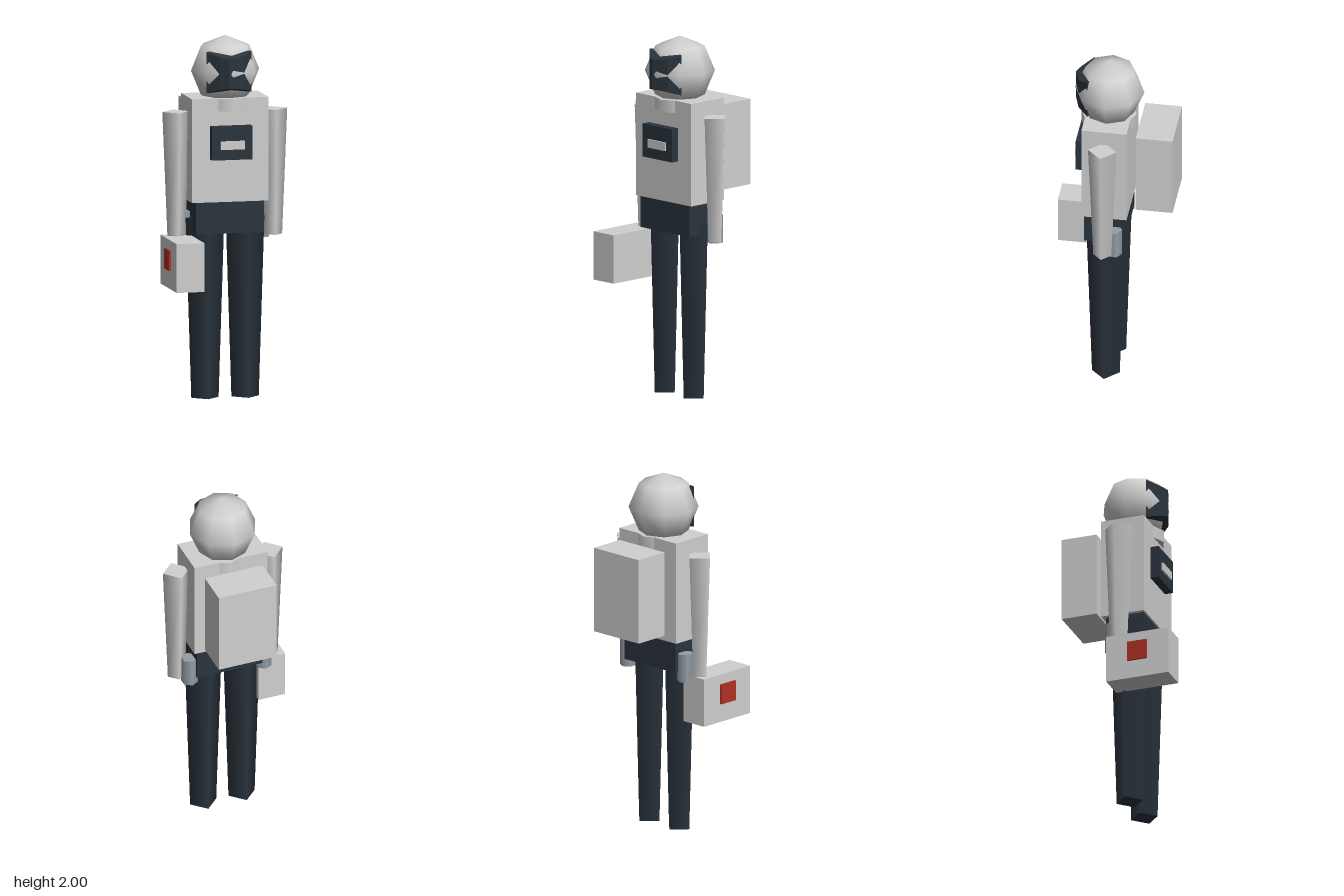
import * as THREE from 'three';
import { ConvexGeometry } from 'three/addons/geometries/ConvexGeometry.js';

function material(name, color) {
  const m = new THREE.MeshStandardMaterial({ color });
  m.name = name;
  return m;
}

export function createModel() {
  const model = new THREE.Group();
  model.name = 'figure';
  const grey = material('light grey', 0xd0d0d0);
  const dark = material('dark slate', 0x2a343d);
  const steel = material('blue grey', 0x939da6);
  const red = material('red', 0xb03024);

  function add(name, geometry, mat, x = 0, y = 0, z = 0) {
    const mesh = new THREE.Mesh(geometry, mat);
    mesh.name = name;
    mesh.position.set(x, y, z);
    model.add(mesh);
    return mesh;
  }

  // Box given by its limits on each axis
  function box(name, mat, [x0, x1], [y0, y1], [z0, z1]) {
    return add(name, new THREE.BoxGeometry(x1 - x0, y1 - y0, z1 - z0), mat,
      (x0 + x1) / 2, (y0 + y1) / 2, (z0 + z1) / 2);
  }

  // Upright tapered column between two heights
  function column(name, mat, sides, rTop, rBottom, y0, y1, x, z) {
    return add(name, new THREE.CylinderGeometry(rTop, rBottom, y1 - y0, sides), mat, x, (y0 + y1) / 2, z);
  }

  // Body
  box('torso', grey, [-0.211, 0.219], [1.094, 1.667], [-0.099, 0.151]);
  box('hips', dark, [-0.187, 0.197], [0.918, 1.094], [-0.08, 0.14]);
  column('collar', grey, 8, 0.153, 0.153, 1.597, 1.666, 0.015, 0.03);
  add('head', new THREE.SphereGeometry(0.192, 8, 4), grey, 0.005, 1.808, 0.027);

  // Visor: faceted wedge that breaks through the front of the head
  const visorPlan = [[-0.128, 0.13], [-0.066, 0.191], [-0.022, 0.218], [0.072, 0.188], [0.125, 0.132], [0, 0.08]];
  const visorPoints = [];
  for (const [x, z] of visorPlan) {
    const h = 0.08 + (0.22 - z) * 0.36;
    for (const s of [-1, 1]) visorPoints.push(new THREE.Vector3(x, s * h, z));
  }
  add('visor', new ConvexGeometry(visorPoints), dark, 0.002, 1.81, 0.001);

  // Chest unit and its display
  box('chestPanel', dark, [-0.11, 0.118], [1.332, 1.517], [0.14, 0.199]);
  box('chestDisplay', grey, [-0.063, 0.072], [1.39, 1.437], [0.199, 0.208]);

  // Limbs and the small canisters beside the hips
  for (const [side, s] of [['right', -1], ['left', 1]]) {
    column(side + 'Leg', dark, 4, 0.109, 0.077, 0, 0.995, 0.004 + s * 0.113, 0.031);
    column(side + 'Arm', grey, 4, 0.079, 0.05, 0.89, 1.585, 0.004 + s * 0.273, 0.026);
    column(side + 'Canister', steel, 6, 0.046, 0.046, 0.87, 1.027, 0.004 + s * 0.217, -0.029);
  }

  // Luggage
  box('backpack', grey, [-0.165, 0.175], [1.14, 1.617], [-0.347, -0.143]);
  box('handCase', grey, [-0.346, -0.189], [0.63, 0.9], [-0.018, 0.345]);
  box('caseMarker', red, [-0.357, -0.346], [0.733, 0.845], [0.107, 0.22]);

  return model;
}
